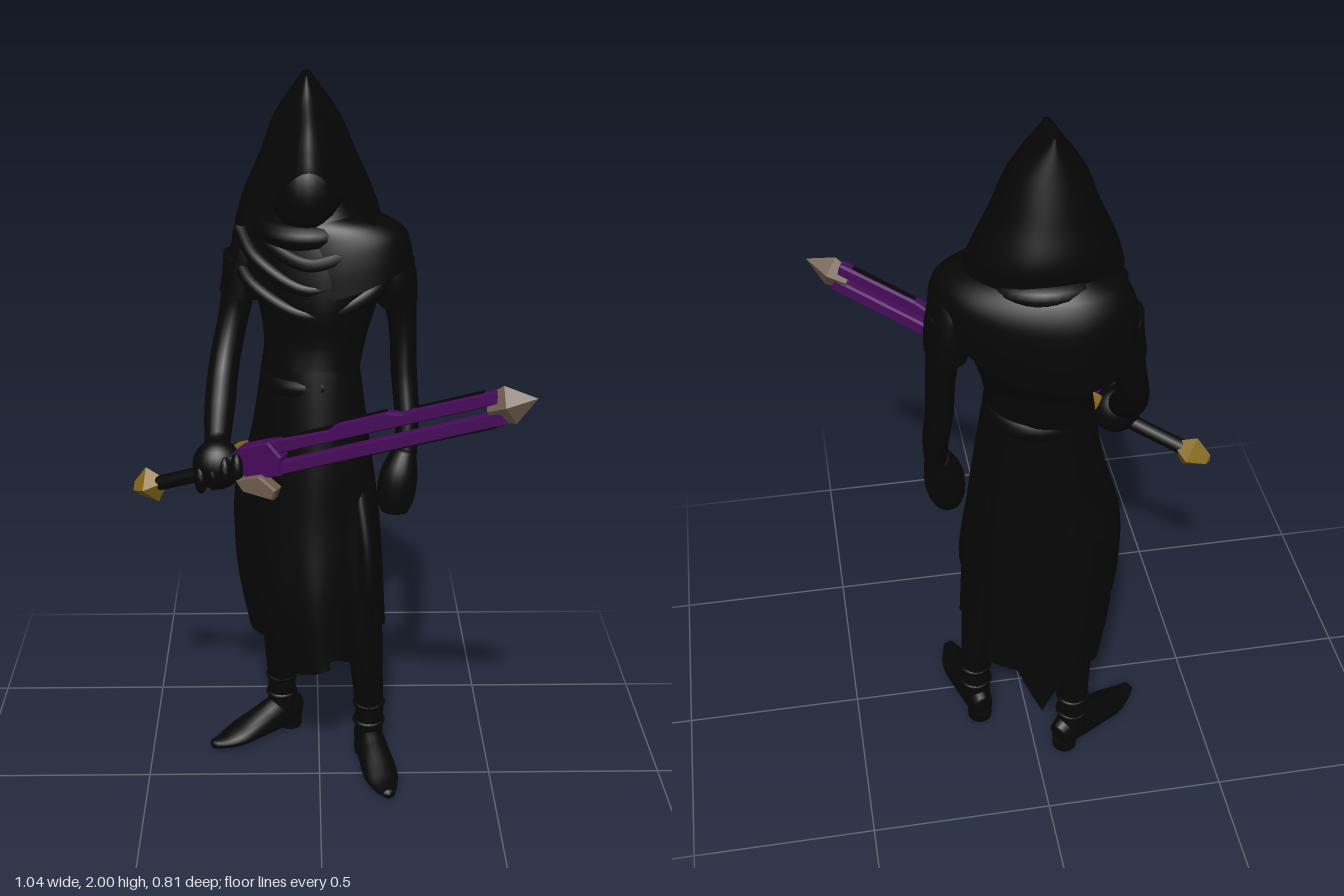
import * as THREE from 'three';

const mat = (name, color, side = THREE.FrontSide, flatShading = false) =>
  Object.assign(new THREE.MeshStandardMaterial({ color, side, flatShading }), { name });
const V = (x, y, z) => new THREE.Vector3(x, y, z);
const lerp = THREE.MathUtils.lerp;

// Surface from rows of points; f(u, v) gives a point, closed joins the last column to the first
function grid(nu, nv, f, closed) {
  const pos = [], idx = [], cols = closed ? nu : nu + 1;
  for (let j = 0; j <= nv; j++)
    for (let i = 0; i < cols; i++) pos.push(...f(i / nu, j / nv).toArray());
  for (let j = 0; j < nv; j++)
    for (let i = 0; i < nu; i++) {
      const a = j * cols + i, b = j * cols + (i + 1) % cols;
      idx.push(a, a + cols, b, b, a + cols, b + cols);
    }
  const g = new THREE.BufferGeometry();
  g.setAttribute('position', new THREE.Float32BufferAttribute(pos, 3));
  g.setIndex(idx);
  g.computeVertexNormals();
  return g;
}

// Smoothly interpolated row of numbers
function sample(rows, v) {
  const s = v * (rows.length - 1), i = Math.min(Math.floor(s), rows.length - 2), t = s - i;
  const at = k => rows[Math.max(0, Math.min(rows.length - 1, k))];
  return rows[i].map((b, k) => {
    const a = at(i - 1)[k], c = at(i + 1)[k], d = at(i + 2)[k];
    return b + 0.5 * t * (c - a + t * (2 * a - 5 * b + 4 * c - d + t * (3 * (b - c) + d - a)));
  });
}

// Draped cloth: rows [y, xMin, xMax, zBack, zFront]; the hem is a function of the angle,
// and the beak pulls the middle of the front forward
function drape(rows, { hem, from = -Math.PI, to = Math.PI, folds = 0, count = 9, shear = 0, grow = 0, beak = 0 } = {}) {
  const y0 = rows[0][0], y1 = rows[rows.length - 1][0];
  return grid(72, 28, (u, v) => {
    const a = lerp(from, to, u);
    const [y, x0, x1, z0, z1] = sample(rows, v);
    const k = 1 + folds * v * (Math.sin(count * a) + 0.5 * Math.sin((count * 2 - 3) * a + 1));
    const x = (x1 - x0) / 2 * Math.sin(a) * k, z = ((z1 - z0) / 2 + grow) * Math.cos(a) * k;
    const yy = hem ? y0 + (y - y0) * (hem(a) - y0) / (y1 - y0) : y;
    return V((x0 + x1) / 2 + x, yy, (z0 + z1) / 2 + z + shear * x + beak * v * Math.exp(-((a / 0.5) ** 2)));
  }, to - from > 6.2);
}

// Limb through sections [x, y, z, sideRadius, otherRadius], rounded shut at both ends
function limb(sections, ref = V(0, 0, 1), open = false) {
  const nv = sections.length * 6;
  return grid(20, nv, (u, v) => {
    const s = sample(sections, v), e = 0.01;
    const p = sample(sections, Math.max(0, v - e)), q = sample(sections, Math.min(1, v + e));
    const t = V(q[0] - p[0], q[1] - p[1], q[2] - p[2]).normalize();
    const side = V(0, 0, 0).crossVectors(t, ref).normalize(), n = V(0, 0, 0).crossVectors(side, t);
    const a = u * Math.PI * 2, end = !open && (v === 0 || v === 1) ? 0.05 : 1;
    return V(s[0], s[1], s[2]).addScaledVector(side, s[3] * Math.cos(a) * end).addScaledVector(n, s[4] * Math.sin(a) * end);
  }, true);
}

export function createModel() {
  const root = new THREE.Group();
  const cloth = mat('black cloth', 0x060606, THREE.DoubleSide);
  const purple = mat('purple blade', 0x470b5b, THREE.FrontSide, true);
  const gold = mat('old gold', 0x86691c, THREE.FrontSide, true);
  const bone = mat('dull bone', 0x6e5c4c, THREE.FrontSide, true);
  const add = (name, g, m = cloth, parent = root) => {
    const mesh = new THREE.Mesh(g, m);
    mesh.name = name;
    parent.add(mesh);
    return mesh;
  };

  // Hood, peaked over the face
  add('hood', drape([
    [2.0, -0.045, -0.018, -0.28, -0.17], [1.9, -0.115, 0.055, -0.305, -0.135],
    [1.8, -0.155, 0.1, -0.33, -0.085], [1.7, -0.2, 0.145, -0.352, -0.045], [1.62, -0.225, 0.172, -0.335, -0.01],
  ], { hem: a => 1.62 + 0.18 * Math.exp(-((a / 0.6) ** 2)), folds: 0.01, count: 5, beak: 0.07 }));
  add('hoodTop', new THREE.SphereGeometry(0.055, 20, 10).scale(0.25, 0.08, 1).translate(-0.031, 1.996, -0.225));
  add('head', new THREE.SphereGeometry(1, 24, 16).scale(0.1, 0.14, 0.12).translate(-0.03, 1.71, -0.17));

  // Torso and mantle, turned slightly at the shoulders
  add('torso', drape([
    [1.68, -0.14, 0.09, -0.32, -0.1], [1.63, -0.17, 0.13, -0.345, -0.08], [1.57, -0.2, 0.18, -0.385, -0.06],
    [1.49, -0.2, 0.19, -0.39, -0.045], [1.4, -0.17, 0.16, -0.38, -0.04], [1.3, -0.15, 0.13, -0.33, -0.05],
    [1.2, -0.155, 0.11, -0.3, -0.04],
  ], { shear: 0.17, folds: 0.008, count: 7 }));
  add('mantle', drape([
    [1.65, -0.15, 0.1, -0.34, -0.1], [1.62, -0.205, 0.18, -0.37, -0.075], [1.57, -0.232, 0.23, -0.39, -0.06],
    [1.5, -0.24, 0.246, -0.392, -0.05], [1.42, -0.245, 0.25, -0.385, -0.045],
  ], { shear: 0.24, folds: 0.01, count: 6, hem: a => 1.44 + 0.05 * Math.sin(a + 0.5) - 0.03 * Math.cos(2 * a) }));
  // Cowl folds across the chest
  for (const [w, yMid, yEnd] of [[0.15, 1.53, 1.62], [0.19, 1.46, 1.59], [0.2, 1.39, 1.51]]) {
    const curve = new THREE.CatmullRomCurve3([
      V(-0.02 - w, yEnd, -0.22), V(-0.03 - w * 0.7, (yMid + yEnd) / 2, -0.135),
      V(-0.02, yMid, -0.064), V(w * 0.7, (yMid + yEnd) / 2, -0.085), V(w - 0.01, yEnd, -0.17),
    ]);
    add('cowlFold', new THREE.TubeGeometry(curve, 32, 0.022, 10));
  }
  add('collar', new THREE.TorusGeometry(0.125, 0.035, 12, 40).rotateX(Math.PI / 2 + 0.12).translate(-0.025, 1.61, -0.21));

  // Belt
  add('belt', new THREE.TorusGeometry(0.128, 0.012, 10, 40).rotateX(Math.PI / 2).scale(1, 2, 1).translate(-0.023, 1.19, -0.165));

  // Robe skirt with a separate back panel and front strip
  const skirtRows = [
    [1.24, -0.155, 0.11, -0.28, -0.04], [1.0, -0.19, 0.14, -0.28, -0.02], [0.8, -0.24, 0.165, -0.29, -0.015],
    [0.6, -0.24, 0.178, -0.295, 0], [0.4, -0.205, 0.188, -0.3, 0],
  ];
  const shear = 0.19;
  add('skirt', drape(skirtRows, {
    hem: a => 0.38 + 0.08 * Math.abs(Math.sin(a)) ** 3 + 0.05 * Math.max(0, -Math.cos(a)) + 0.02 * Math.sin(7 * a),
    folds: 0.025, beak: 0.045, shear,
  }));
  const tail = a => 0.37 - 0.15 * Math.max(0, 1 - Math.abs(a - Math.PI) / 0.35);
  add('backPanel', drape(skirtRows.map(([y, a, b, z0, z1]) => [y, a, b, z0 - 0.012 - 0.025 * (1.24 - y) / 0.84, z1]),
    { from: Math.PI - 0.95, to: Math.PI + 0.95, hem: tail, folds: 0.012, count: 11, shear }));
  add('frontPanel', drape(skirtRows, {
    from: -0.75, to: 0.2, grow: 0.01, hem: a => 0.35 + 0.07 * Math.abs(a + 0.25), folds: 0.018, count: 8, beak: 0.045, shear,
  }));
  add('hipFold', limb([[0.1, 0.95, -0.11, 0.03, 0.05], [0.13, 0.75, -0.07, 0.035, 0.07],
    [0.14, 0.6, -0.06, 0.042, 0.07], [0.14, 0.54, -0.06, 0.03, 0.05]]));

  // Legs and boots
  const legs = {
    left: { hip: [0.06, -0.13], knee: [0.13, -0.085], ankle: [0.147, -0.092], turn: 0.2 },
    right: { hip: [-0.1, -0.17], knee: [-0.12, -0.235], ankle: [-0.112, -0.26], turn: -0.96 },
  };
  for (const [side, { hip, knee, ankle, turn }] of Object.entries(legs)) {
    add(side + 'Leg', limb([
      [hip[0], 0.95, hip[1], 0.08, 0.09], [(hip[0] + knee[0]) / 2, 0.7, (hip[1] + knee[1]) / 2, 0.065, 0.07],
      [knee[0], 0.48, knee[1], 0.05, 0.054], [lerp(knee[0], ankle[0], 0.4), 0.34, lerp(knee[1], ankle[1], 0.4), 0.048, 0.054],
      [ankle[0], 0.18, ankle[1], 0.042, 0.046], [ankle[0], 0.05, ankle[1], 0.042, 0.046],
    ]));
    for (const y of [0.13, 0.19])
      add(side + 'BootStrap', new THREE.TorusGeometry(0.039, 0.009, 8, 24).rotateX(Math.PI / 2).translate(ankle[0], y, ankle[1]));
    const foot = add(side + 'Boot', limb([
      [0, 0.05, -0.06, 0.03, 0.045], [0, 0.062, 0, 0.042, 0.058], [0, 0.05, 0.07, 0.047, 0.047],
      [0, 0.034, 0.15, 0.05, 0.03], [0, 0.026, 0.205, 0.036, 0.02], [0, 0.03, 0.256, 0.014, 0.012],
    ], V(0, 1, 0)));
    foot.position.set(ankle[0], 0, ankle[1]);
    foot.rotation.y = turn;
    const heel = add(side + 'BootSole', new THREE.CylinderGeometry(0.036, 0.034, 0.03, 20));
    heel.position.set(ankle[0] - 0.03 * Math.sin(turn), 0.015, ankle[1] - 0.03 * Math.cos(turn));
  }

  // Left arm hanging, right arm bent toward the grip
  add('leftArm', limb([[0.2, 1.52, -0.18, 0.06, 0.08], [0.228, 1.35, -0.185, 0.04, 0.055], [0.235, 1.2, -0.17, 0.036, 0.052],
    [0.243, 1.08, -0.13, 0.034, 0.047], [0.24, 0.97, -0.09, 0.03, 0.035]]));
  add('leftHand', limb([[0.24, 1.0, -0.095, 0.03, 0.037], [0.222, 0.93, -0.08, 0.052, 0.052],
    [0.213, 0.86, -0.075, 0.052, 0.05], [0.21, 0.815, -0.07, 0.036, 0.038]]));
  add('rightArm', limb([[-0.2, 1.52, -0.26, 0.06, 0.08], [-0.23, 1.36, -0.25, 0.043, 0.055], [-0.26, 1.22, -0.2, 0.042, 0.05],
    [-0.272, 1.12, -0.11, 0.042, 0.045], [-0.277, 1.04, -0.01, 0.034, 0.035]], V(0, 0.5, 1).normalize()));
  add('rightHand', new THREE.SphereGeometry(1, 24, 16).scale(0.068, 0.07, 0.058).translate(-0.275, 1.0, 0.02));
  for (let i = 0; i < 4; i++)
    add('finger', new THREE.SphereGeometry(1, 12, 8).scale(0.019, 0.045, 0.03).translate(-0.32 + i * 0.033, 0.97 + i * 0.013, 0.042 + i * 0.008));

  // Short flared sleeves
  add('leftSleeve', limb([[0.16, 1.59, -0.18, 0.02, 0.04], [0.185, 1.55, -0.18, 0.05, 0.085],
    [0.205, 1.48, -0.18, 0.058, 0.095], [0.215, 1.4, -0.185, 0.055, 0.09]], V(0, 0, 1), true));
  add('rightSleeve', limb([[-0.16, 1.59, -0.25, 0.02, 0.04], [-0.178, 1.55, -0.255, 0.048, 0.085],
    [-0.2, 1.48, -0.255, 0.056, 0.09], [-0.215, 1.4, -0.25, 0.058, 0.085]], V(0, 0, 1), true));

  // Sword, built along its own x axis from pommel to tip
  const sword = new THREE.Group();
  sword.name = 'sword';
  const dir = V(1.02, 0.445, 0.5).normalize(), flat = V(-dir.z, 0, dir.x).normalize();
  sword.quaternion.setFromRotationMatrix(new THREE.Matrix4().makeBasis(dir, V(0, 0, 0).crossVectors(flat, dir), flat));
  sword.position.set(-0.515, 0.877, -0.102);
  root.add(sword);
  const spun = (pts, n) => new THREE.LatheGeometry(pts.map(p => new THREE.Vector2(...p)), n).rotateZ(-Math.PI / 2);
  add('pommel', spun([[0, 0], [0.02, 0.008], [0.052, 0.062], [0.022, 0.095], [0, 0.095]], 4), gold, sword);
  add('grip', new THREE.CylinderGeometry(0.021, 0.021, 0.32, 16).rotateZ(Math.PI / 2).translate(0.24, 0, 0), cloth, sword);
  add('collar', new THREE.BoxGeometry(0.03, 0.08, 0.05).translate(0.368, -0.008, 0), bone, sword);
  add('backCollar', new THREE.BoxGeometry(0.03, 0.1, 0.034).translate(0.362, 0, -0.036), gold, sword);

  // Extruded sword parts, centred on the blade plane
  const plate = (pts, depth) => new THREE.ExtrudeGeometry(new THREE.Shape(pts.map(p => new THREE.Vector2(...p))),
    { depth: depth - 0.016, bevelThickness: 0.008, bevelSize: 0.004, bevelSegments: 1 }).translate(0, 0, 0.008 - depth / 2);
  add('guard', plate([[0.38, -0.035], [0.48, -0.045], [0.5, 0], [0.48, 0.045], [0.39, 0.048], [0.36, 0.035]], 0.052), purple, sword);
  add('lowerProng', plate([[0.36, -0.03], [0.43, -0.035], [0.462, -0.08], [0.445, -0.1], [0.37, -0.062]], 0.042).translate(0, 0, 0.024), bone, sword);
  add('upperBlade', plate([[0.46, 0.014], [1.14, 0.014], [1.14, 0.04], [0.92, 0.042], [0.88, 0.036], [0.84, 0.05], [0.7, 0.05], [0.66, 0.038], [0.46, 0.046]], 0.036), purple, sword);
  add('lowerBlade', plate([[0.46, -0.044], [1.14, -0.04], [1.14, -0.012], [0.46, -0.016]], 0.036), purple, sword);
  // Dark groove along the outer edges of the blade
  for (const [x0, x1, y] of [[0.52, 0.67, 0.046], [0.7, 0.84, 0.054], [0.92, 1.11, 0.045], [0.52, 1.11, -0.045]])
    add('edgeGroove', new THREE.BoxGeometry(x1 - x0, 0.008, 0.012).translate((x0 + x1) / 2, y, 0), cloth, sword);
  add('bladeTip', spun([[0, 1.105], [0.035, 1.11], [0.05, 1.165], [0, 1.24]], 4).scale(1, 1, 0.6), bone, sword);

  return root;
}
